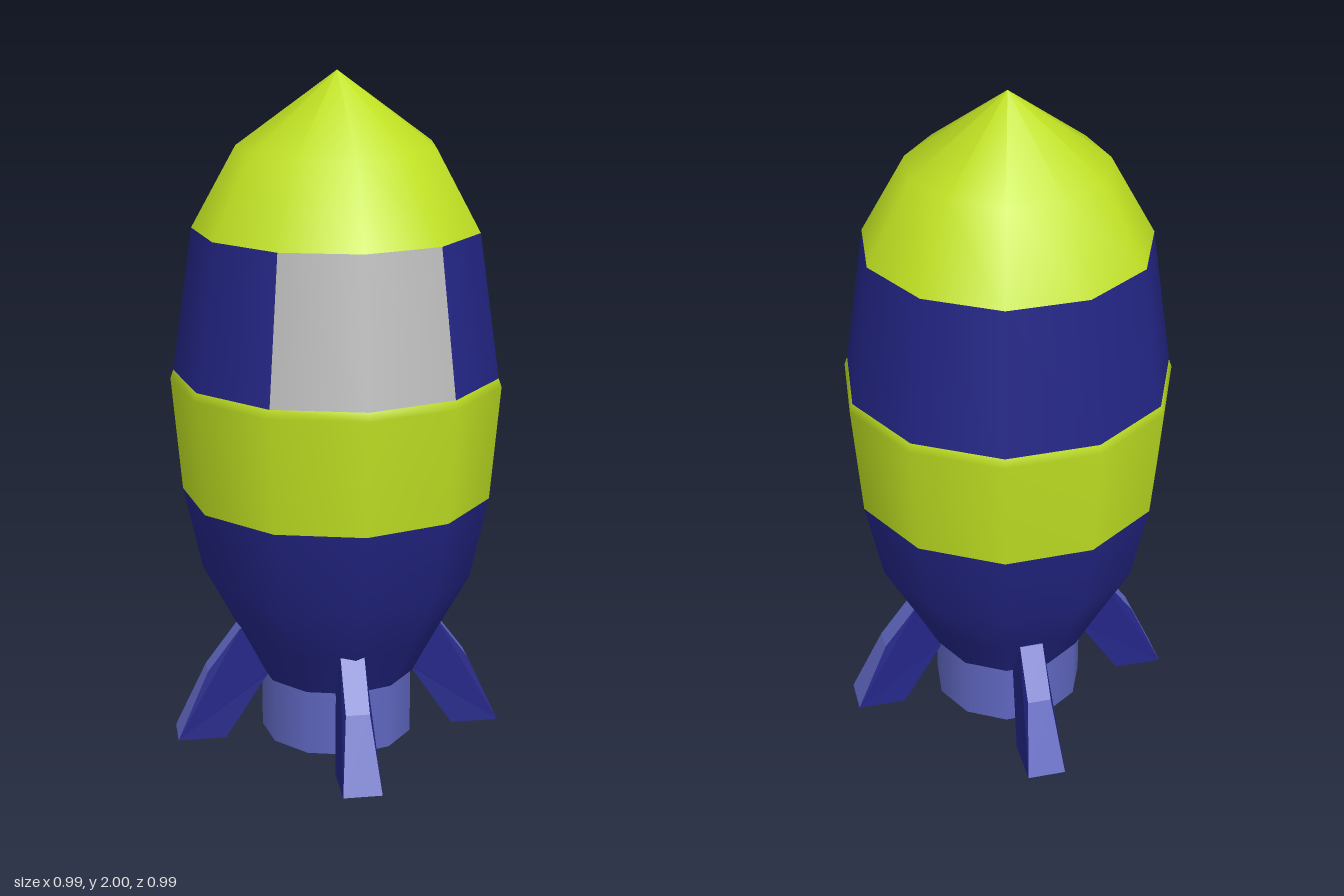
import * as THREE from 'three';

const SIDES = 11;
const STEP = (Math.PI * 2) / SIDES;
const TURN = 0.03; // slight twist of the hull facets

const paint = (name, color) => {
  const m = new THREE.MeshStandardMaterial({ color });
  m.name = name;
  return m;
};

export function createModel() {
  const lime = paint('lime', 0xbfe022);
  const navy = paint('navy', 0x232585);
  const periwinkle = paint('periwinkle', 0x5f66bf);
  const grey = paint('window grey', 0xbcbcbc);
  const rocket = new THREE.Group();
  rocket.name = 'rocket';

  // One turned band of the hull, covering some or all of the facets
  const band = (name, material, profile, first = 0, count = SIDES, parent = rocket) => {
    const points = profile.map(([r, y]) => new THREE.Vector2(r, y));
    const geometry = new THREE.LatheGeometry(points, count, TURN + first * STEP, count * STEP);
    const mesh = new THREE.Mesh(geometry, material);
    mesh.name = name;
    parent.add(mesh);
  };

  // Hull, from the tail up
  band('lowerHull', navy, [[0, 0.2], [0.235, 0.2]]);
  band('lowerHull', navy, [[0.235, 0.2], [0.31, 0.345], [0.405, 0.52], [0.459, 0.77]]);
  band('middleBand', lime, [[0.459, 0.77], [0.488, 1.11], [0.479, 1.135]]);
  const upper = [[0.479, 1.135], [0.418, 1.555]];
  band('upperHull', navy, upper, 1, SIDES - 2);
  band('window', grey, upper, -1, 2);
  band('noseCone', lime, [[0.418, 1.555], [0.288, 1.79], [0, 2]]);

  // Nozzle: recessed floor, inner wall, rim and outer wall with crisp edges
  const nozzle = new THREE.Group();
  nozzle.name = 'nozzle';
  rocket.add(nozzle);
  const ring = [[0, 0.1], [0.15, 0.1], [0.17, 0], [0.23, 0], [0.23, 0.2]];
  const names = ['nozzleFloor', 'nozzleInnerWall', 'nozzleRim', 'nozzleOuterWall'];
  names.forEach((name, i) => band(name, periwinkle, [ring[i], ring[i + 1]], 0, SIDES, nozzle));

  // Fin: side outline, thickened towards the foot
  const outline = [[0.35, 0], [0.495, 0], [0.4, 0.21], [0.3, 0.345], [0.25, 0.345], [0.19, 0.22], [0.22, 0.19]];
  const shape = new THREE.Shape(outline.map(([x, y]) => new THREE.Vector2(x, y)));
  const fin = new THREE.ExtrudeGeometry(shape, { depth: 1, bevelEnabled: false });
  const pos = fin.attributes.position;
  for (let i = 0; i < pos.count; i++) {
    const half = 0.035 + 0.022 * Math.max(0, 1 - pos.getY(i) / 0.21);
    pos.setZ(i, pos.getZ(i) > 0.5 ? half : -half);
  }
  fin.computeVertexNormals();
  ['leftFin', 'backFin', 'rightFin', 'frontFin'].forEach((name, i) => {
    const mesh = new THREE.Mesh(fin, [navy, periwinkle]);
    mesh.name = name;
    mesh.rotation.y = (i * Math.PI) / 2;
    rocket.add(mesh);
  });

  return rocket;
}
